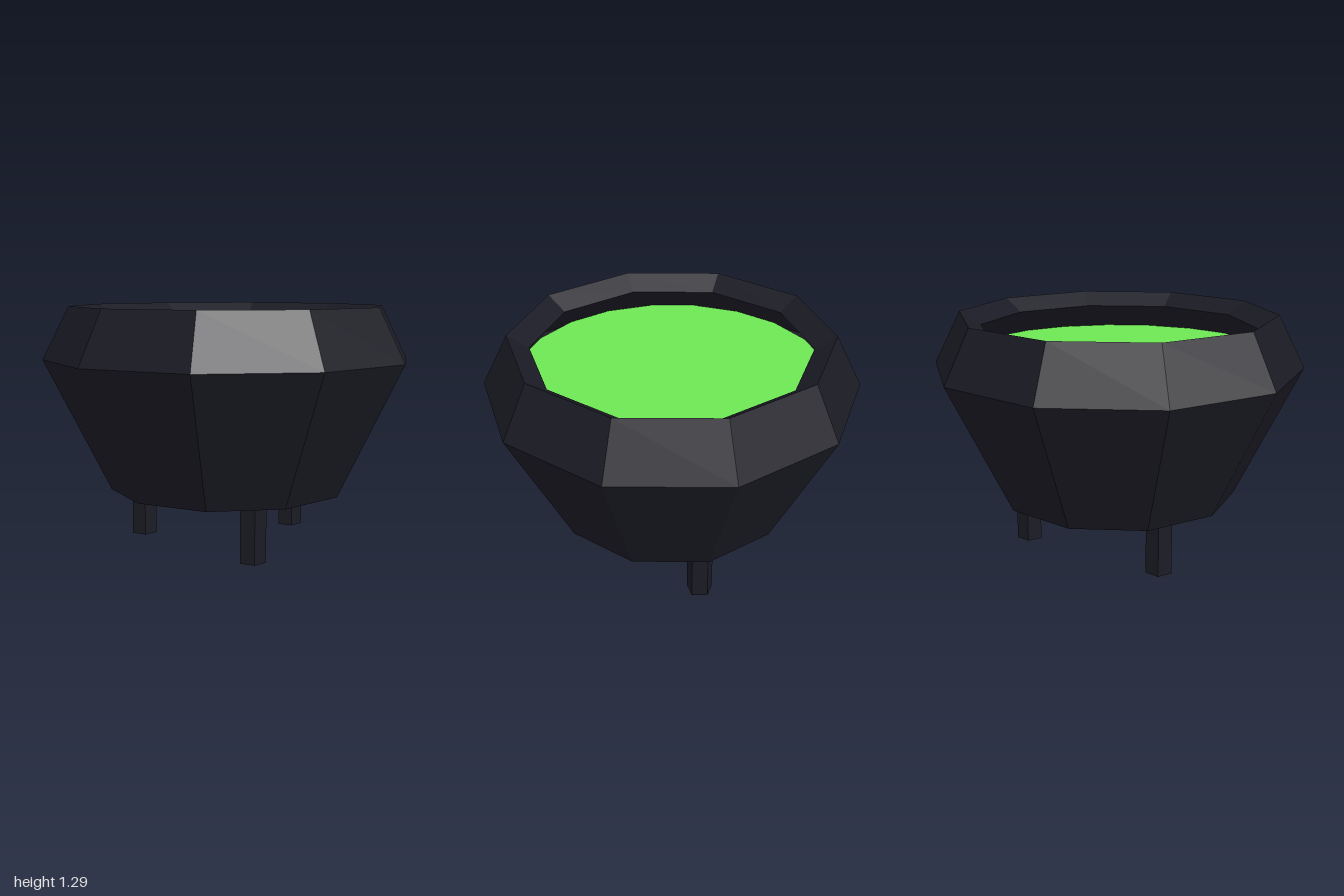
import * as THREE from 'three';

export function createModel() {
  const model = new THREE.Group();
  const iron = new THREE.MeshStandardMaterial({ color: 0x1b1b25, flatShading: true });
  iron.name = 'darkIron';
  const green = new THREE.MeshStandardMaterial({ color: 0x6de755, flatShading: true });
  green.name = 'greenLiquid';

  const add = (name, geometry, material, x = 0, y = 0, z = 0) => {
    const mesh = new THREE.Mesh(geometry, material);
    mesh.name = name;
    mesh.position.set(x, y, z);
    model.add(mesh);
    return mesh;
  };

  // Ten-sided bowl: shallow pointed base, flared wall, tapered shoulder, inner lip
  const profile = [
    [0, 0.225], [0.645, 0.297], [1, 1.01], [0.857, 1.292], // outside
    [0.742, 1.22], [0.9, 1.05], [0.8, 1.04],               // lip, undercut, ledge
  ].map(([r, y]) => new THREE.Vector2(r, y));
  add('bowl', new THREE.LatheGeometry(profile, 10, Math.PI / 2), iron);

  // Liquid surface tucked below the lip
  const surface = new THREE.CircleGeometry(0.83, 20, Math.PI / 20).rotateX(-Math.PI / 2);
  add('liquid', surface, green, 0, 1.085, 0);

  // Three five-sided legs with a flat face to the front, running up into the base
  const legHeight = 0.31;
  const leg = new THREE.CylinderGeometry(0.071, 0.071, legHeight, 5).rotateY(Math.PI);
  for (let i = 0; i < 3; i++) {
    const a = (i * Math.PI * 2) / 3;
    add(`leg${i + 1}`, leg, iron, Math.cos(a) * 0.5, legHeight / 2, Math.sin(a) * 0.5);
  }

  return model;
}
